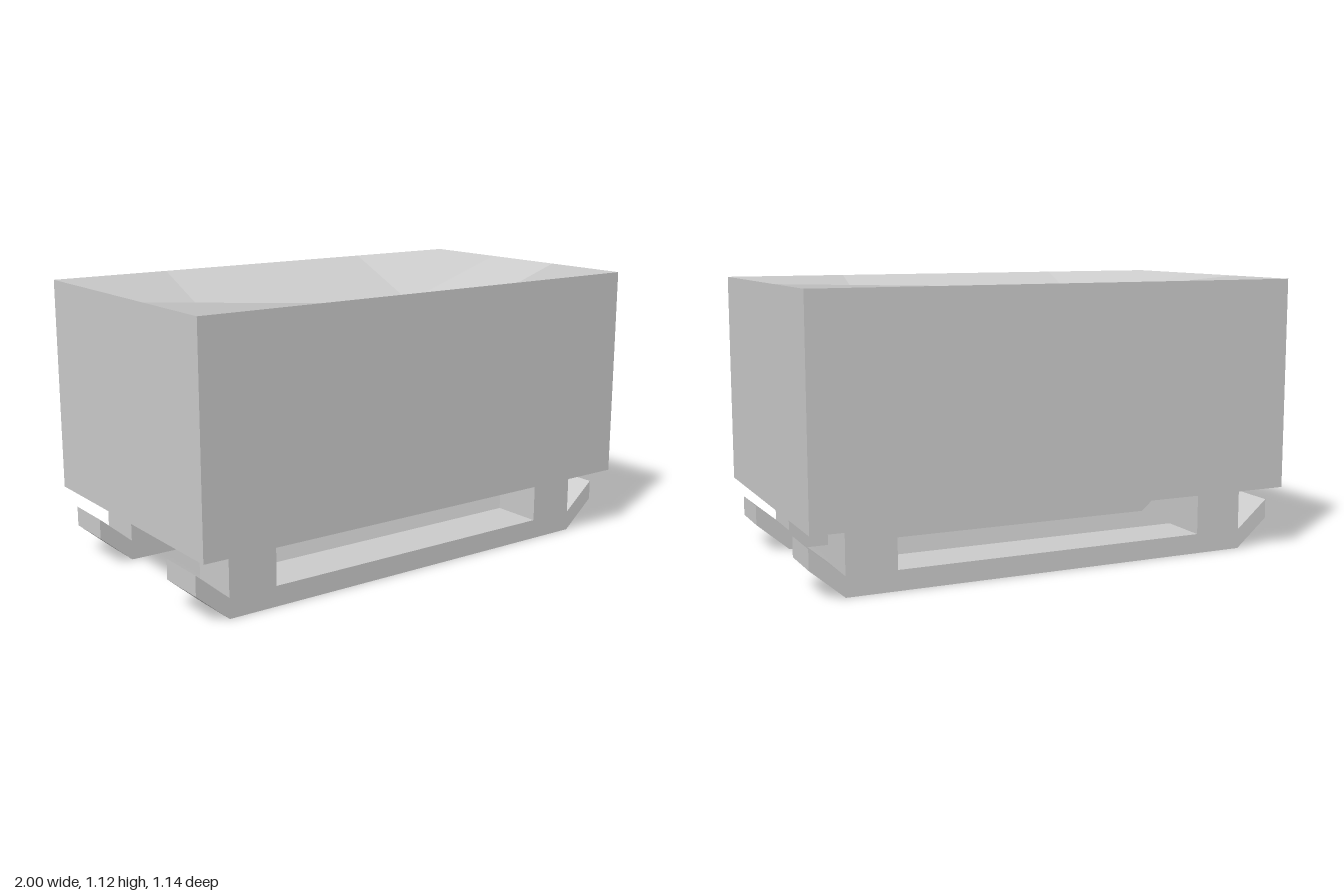
import * as THREE from 'three';
import { mergeGeometries } from 'three/addons/utils/BufferGeometryUtils.js';

// Flat-shaded quads; each is split along its higher diagonal and keeps one normal
function quadGeometry(quads) {
  const pos = [], nor = [], uv = [];
  for (const q of quads) {
    const [a, b, c, d] = q.map((p) => new THREE.Vector3(...p));
    const n = c.clone().sub(a).cross(d.clone().sub(b)).normalize();
    const tris = a.y + c.y >= b.y + d.y ? [a, b, c, a, c, d] : [a, b, d, b, c, d];
    for (const v of tris) {
      pos.push(v.x, v.y, v.z);
      nor.push(n.x, n.y, n.z);
      uv.push(0, 0);
    }
  }
  const g = new THREE.BufferGeometry();
  g.setAttribute('position', new THREE.Float32BufferAttribute(pos, 3));
  g.setAttribute('normal', new THREE.Float32BufferAttribute(nor, 3));
  g.setAttribute('uv', new THREE.Float32BufferAttribute(uv, 2));
  return g;
}

const HALF_X = 1, HALF_Z = 0.571, BOTTOM = 0.262, TOP = 1.115, DIP = 0.168;

// Block with straight walls, a flat base and a dished 3 x 3 top
function bodyGeometry() {
  const xs = [-HALF_X, -0.5, 0.5, HALF_X];
  const zs = [-HALF_Z, -0.19, 0.19, HALF_Z];
  const inner = (i) => i === 1 || i === 2;
  const top = (i, j) => [xs[i], TOP - (inner(i) && inner(j) ? DIP : 0), zs[j]];
  const quads = [];
  for (let i = 0; i < 3; i++) {
    for (let j = 0; j < 3; j++) {
      quads.push([top(i, j), top(i, j + 1), top(i + 1, j + 1), top(i + 1, j)]);
    }
  }
  const ring = [[-HALF_X, HALF_Z], [HALF_X, HALF_Z], [HALF_X, -HALF_Z], [-HALF_X, -HALF_Z]];
  ring.forEach(([x, z], k) => {
    const [x2, z2] = ring[(k + 1) % 4];
    quads.push([[x, BOTTOM, z], [x2, BOTTOM, z2], [x2, TOP, z2], [x, TOP, z]]);
  });
  quads.push([...ring].reverse().map(([x, z]) => [x, BOTTOM, z]));
  return quadGeometry(quads);
}

// Hollow runner with two posts and upturned tips, open underneath
function runnerGeometry(width) {
  const half = [[0.848, 0], [0.983, 0.115], [0.983, 0.195], [0.848, 0.08],
    [0.848, BOTTOM], [0.648, BOTTOM], [0.648, 0.08]];
  const mirror = (pts) => pts.map(([x, y]) => [-x, y]).reverse();
  const outline = [...half, ...mirror(half)];
  const z = width / 2;

  // Walls around the outline, skipping the open underside and the post tops
  const walls = [];
  outline.forEach(([x, y], k) => {
    const [x2, y2] = outline[(k + 1) % outline.length];
    if (y === y2 && y !== 0.08) return;
    walls.push([[x, y, z], [x, y, -z], [x2, y2, -z], [x2, y2, z]]);
  });

  // Front and back cheeks
  const cheek = (pts) => new THREE.ShapeGeometry(
    new THREE.Shape(pts.map((p) => new THREE.Vector2(...p)))).toNonIndexed().translate(0, 0, z);
  const front = cheek(outline);
  const back = cheek(mirror(outline)).rotateY(Math.PI);
  return mergeGeometries([quadGeometry(walls), front, back]);
}

export function createModel() {
  const model = new THREE.Group();
  model.name = 'dishedBlockOnRunners';
  const grey = new THREE.MeshStandardMaterial({ color: 0xcccccc, side: THREE.DoubleSide });
  grey.name = 'light grey';

  const body = new THREE.Mesh(bodyGeometry(), grey);
  body.name = 'body';
  model.add(body);

  // Pair of runners
  const geometry = runnerGeometry(0.209);
  for (const [name, z] of [['frontRunner', 0.382], ['backRunner', -0.38]]) {
    const runner = new THREE.Mesh(geometry, grey);
    runner.name = name;
    runner.position.set(-0.003, 0, z);
    model.add(runner);
  }
  return model;
}
